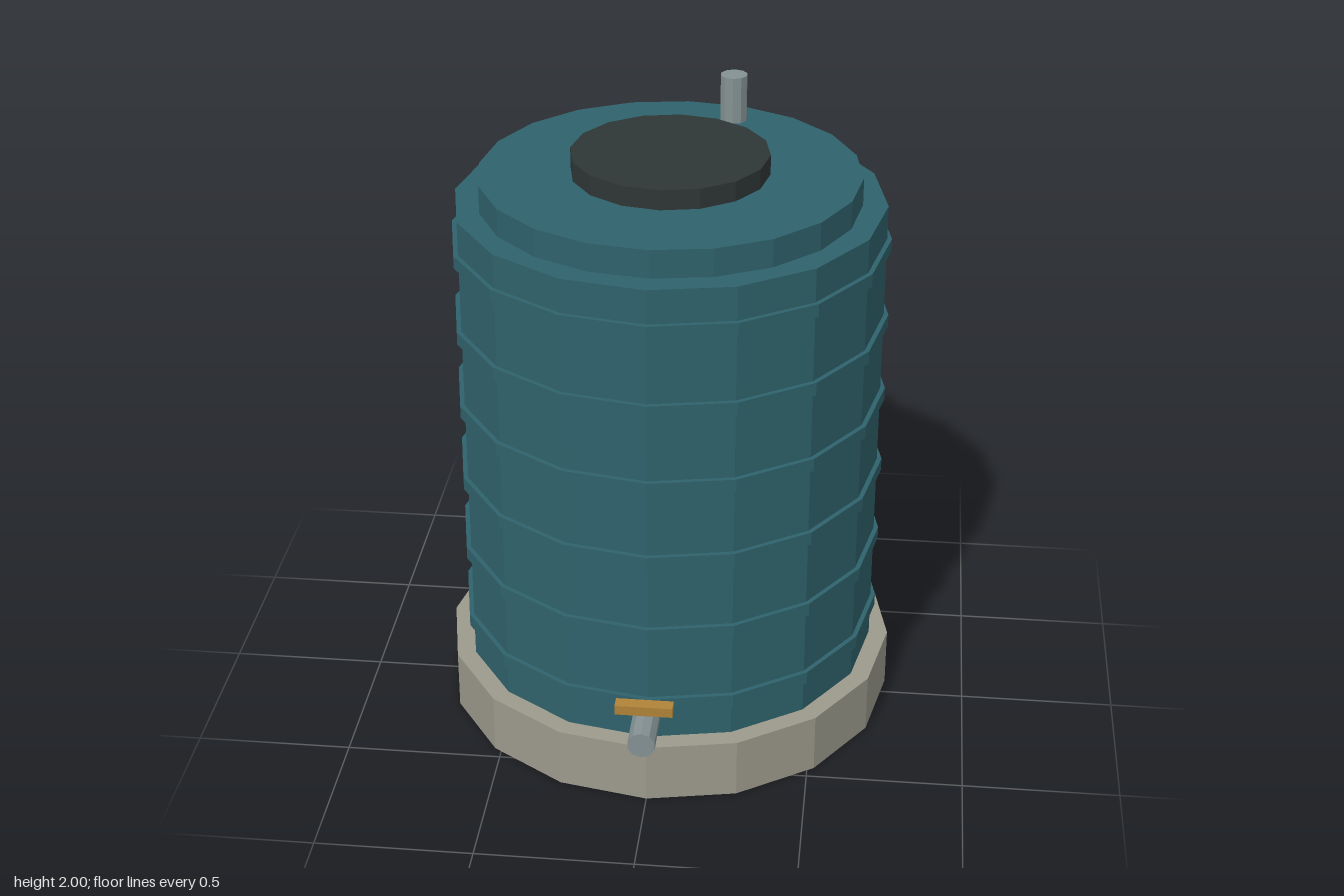
import * as THREE from 'three';

const mat = (name, color) => {
  const m = new THREE.MeshStandardMaterial({ color, flatShading: true });
  m.name = name;
  return m;
};

export function createModel() {
  const teal = mat('tankTeal', 0x2f626c);
  const stone = mat('concrete', 0x9c9a8c);
  const dark = mat('lidCharcoal', 0x2f3636);
  const steel = mat('pipeSteel', 0x849193);
  const brass = mat('valveBrass', 0xb08338);

  const model = new THREE.Group();
  model.name = 'waterTank';
  const axisZ = -0.067;

  const add = (name, geometry, material, x, y, z) => {
    const mesh = new THREE.Mesh(geometry, material);
    mesh.name = name;
    mesh.position.set(x, y, z);
    model.add(mesh);
    return mesh;
  };
  // upright drum between two heights
  const drum = (name, r, y0, y1, sides, material, x = 0, z = axisZ) =>
    add(name, new THREE.CylinderGeometry(r, r, y1 - y0, sides), material, x, (y0 + y1) / 2, z);

  // plinth, tank, shoulder and lid
  drum('basePlinth', 0.738, 0, 0.197, 16, stone);
  drum('tankBody', 0.676, 0.197, 1.757, 16, teal);
  drum('shoulder', 0.597, 1.757, 1.847, 20, teal);
  drum('lid', 0.31, 1.847, 1.911, 16, dark);

  // raised ribs around the tank
  for (let i = 0; i < 6; i++) {
    const y = 0.327 + i * 0.26;
    drum('rib' + (i + 1), 0.691, y - 0.021, y + 0.021, 16, teal);
  }

  // vent on the roof
  drum('ventPipe', 0.044, 1.847, 2, 10, steel, 0.16, -0.52);

  // outlet pipe and its valve handle
  const outlet = add('outletPipe', new THREE.CylinderGeometry(0.044, 0.044, 0.24, 10), steel, 0, 0.302, 0.683);
  outlet.rotation.x = Math.PI / 2;
  add('valveHandle', new THREE.BoxGeometry(0.18, 0.032, 0.042), brass, 0, 0.38, 0.713);

  return model;
}
